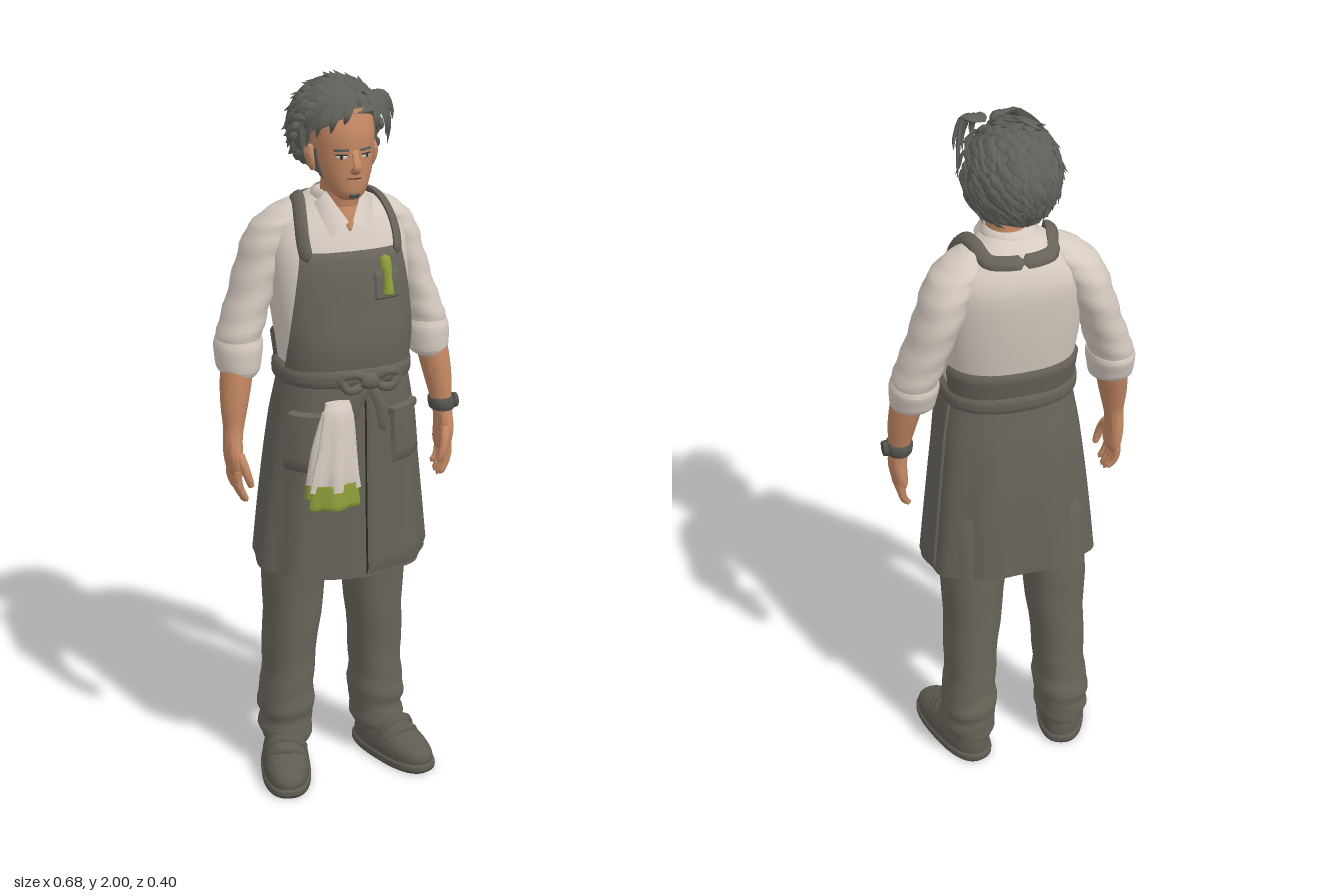
import * as THREE from 'three';
import { mergeGeometries, toCreasedNormals } from 'three/addons/utils/BufferGeometryUtils.js';

const V = (x, y, z) => new THREE.Vector3(x, y, z);
const clamp = THREE.MathUtils.clamp;
const ROWS = 26;

const colour = (name, color, side = THREE.FrontSide) => {
  const m = new THREE.MeshStandardMaterial({ color, side });
  m.name = name;
  return m;
};

// Smooth surface from a rule (u around, v along)
function grid(fn, nu, nv) {
  const pos = [], idx = [], w = nu + 1;
  for (let j = 0; j <= nv; j++)
    for (let i = 0; i <= nu; i++) pos.push(...fn(i / nu, j / nv).toArray());
  for (let j = 0; j < nv; j++)
    for (let i = 0; i < nu; i++) {
      const a = j * w + i;
      idx.push(a, a + 1, a + w + 1, a, a + w + 1, a + w);
    }
  const g = new THREE.BufferGeometry();
  g.setAttribute('position', new THREE.Float32BufferAttribute(pos, 3));
  g.setIndex(idx);
  return toCreasedNormals(g, 0.9);
}

// Loft through sections [y, cx, cz, rx, rz]; with arc it is a patch lying on that loft
function loft(secs, o = {}) {
  const { n = 2, off = 0, range = [0, 1], arc, wave = 0, folds = 9, ripple = 0, hem = 0 } = o;
  const last = secs.length - 1, e = 2 / n;
  const at = t => {
    const f = clamp(t, 0, 1) * last, i = Math.min(Math.floor(f), last - 1), s = f - i;
    const S = k => secs[clamp(k, 0, last)];
    return secs[0].map((_, c) => {
      const a = S(i - 1)[c], b = S(i)[c], d = S(i + 1)[c], g = S(i + 2)[c];
      return b + 0.5 * s * (d - a + s * (2 * a - 5 * b + 4 * d - g + s * (3 * (b - d) + g - a)));
    });
  };
  return (u, v) => {
    let k = v, a0 = -Math.PI, a1 = Math.PI, d = off;
    if (arc) {
      [a0, a1] = typeof arc === 'function' ? arc(v) : arc;
      if (u === 0 || u === 1 || v === 0 || v === 1) d = -0.003;
    } else k = clamp((v * ROWS - 1) / (ROWS - 2), 0, 1);
    const t = range[0] + (range[1] - range[0]) * k;
    const [y, cx, cz, rx, rz] = at(t);
    if (!arc && !o.open && (v === 0 || v === 1)) return V(cx, y, cz);
    const a = a0 + (a1 - a0) * u, s = Math.sin(a), c = Math.cos(a);
    const m = 1 + wave * (1 - t) * Math.cos(folds * a);
    d += ripple * Math.sin(t * 42 + 2 * s);
    return V(cx + (rx * m + d) * Math.sign(s) * Math.abs(s) ** e, y - hem * c * (1 - t),
      cz + (rz * m + d) * Math.sign(c) * Math.abs(c) ** e);
  };
}

// Flattened tapering band along a curve, its flat side facing away from centre
function band(points, w, th, centre, taper = () => 1) {
  const curve = new THREE.CatmullRomCurve3(points.map(p => V(...p)));
  return (u, v) => {
    const p = curve.getPoint(v), T = curve.getTangent(v);
    const N = p.clone().sub(centre).addScaledVector(T, -p.clone().sub(centre).dot(T)).normalize();
    const W = N.clone().cross(T), k = v === 0 || v === 1 ? 0 : taper(v), f = u * Math.PI * 2;
    return p.addScaledVector(W, w * k * Math.cos(f)).addScaledVector(N, th * k * Math.sin(f));
  };
}

export function createModel() {
  const model = new THREE.Group();
  model.name = 'apronMan';
  const D = THREE.DoubleSide;
  const skin = colour('skin', 0xc48863), shirt = colour('shirtCream', 0xd6cbc1, D);
  const apron = colour('apronGrey', 0x67635a, D), trouser = colour('trouserGrey', 0x6a665b);
  const shoe = colour('shoeGrey', 0x5f5b52), hairM = colour('hairGrey', 0x60605a, D);
  const green = colour('green', 0x8fa03a), dark = colour('dark', 0x3a3530, D), watchM = colour('watchGrey', 0x54524c);

  const part = (name, mat, fn, nu = 36, nv = ROWS, parent = model) => {
    const m = new THREE.Mesh(grid(fn, nu, nv), mat);
    m.name = name;
    parent.add(m);
    return m;
  };
  const flip = fn => (u, v) => { const p = fn(1 - u, v); p.x *= -1; return p; };
  const pair = (name, mat, fn, nu, nv) => {
    part(name + 'Left', mat, fn, nu, nv);
    part(name + 'Right', mat, flip(fn), nu, nv);
  };

  // Shirt body, sleeves and rolled cuffs
  const torso = [[1.2, 0, -.01, .165, .122], [1.3, 0, -.015, .175, .137], [1.4, 0, -.03, .185, .138], [1.5, 0, -.045, .19, .135],
    [1.57, 0, -.058, .185, .124], [1.62, 0, -.062, .155, .105], [1.66, 0, -.06, .105, .08], [1.69, 0, -.05, .06, .055]];
  part('shirtBody', shirt, loft(torso, { n: 2.5 }), 48);
  pair('sleeve', shirt, loft([[1.26, .27, -.075, .055, .068], [1.32, .262, -.078, .06, .077], [1.4, .235, -.085, .058, .08],
    [1.5, .2, -.09, .062, .085], [1.58, .17, -.085, .065, .08], [1.63, .135, -.075, .058, .064], [1.665, .105, -.068, .03, .036]],
    { ripple: .0025 }));
  pair('cuff', shirt, loft([[1.215, .272, -.068, .05, .06], [1.225, .272, -.068, .058, .069], [1.25, .271, -.07, .062, .074],
    [1.285, .268, -.075, .065, .079], [1.305, .265, -.077, .06, .074]], { hem: .012 }));

  // Collar and open neck
  part('neck', skin, loft([[1.58, 0, -.035, .058, .056], [1.65, 0, -.022, .056, .057], [1.7, 0, -.012, .054, .055], [1.76, 0, -.005, .055, .058]]), 24);
  part('collarStand', shirt, loft([[1.63, 0, -.045, .085, .08], [1.67, 0, -.04, .072, .07], [1.7, 0, -.035, .064, .066]],
    { arc: [.55, Math.PI * 2 - .55], off: .004 }), 30, 6);
  const quad = (a, b, c, d) => (u, v) =>
    V(...a).lerp(V(...b), u).lerp(V(...d).lerp(V(...c), u), v).add(V(0, 0, .006 * Math.sin(Math.PI * u)));
  pair('collarWing', shirt, quad([.006, 1.625, .062], [.058, 1.588, .07], [.082, 1.672, .005], [.05, 1.7, .014]), 4, 4);
  part('openNeck', skin, quad([-.003, 1.6, .058], [.003, 1.6, .058], [.034, 1.66, .036], [-.034, 1.66, .036]), 4, 4);

  // Apron bib, waist, straps and chest pocket
  part('bib', apron, loft(torso, { n: 2.5, off: .013, range: [0, 3.7 / 7],
    arc: v => { const h = .74 + .8 * (1 - v) ** 1.6; return [-h, h]; } }), 36, 20);
  part('backPanel', apron, loft(torso, { n: 2.5, off: .01, range: [0, 1.25 / 7], arc: [1.75, Math.PI * 2 - 1.75] }), 30, 8);
  part('waistTie', apron, loft([[1.195, 0, -.01, .178, .138], [1.205, 0, -.01, .186, .145], [1.235, 0, -.01, .186, .146], [1.248, 0, -.01, .176, .136]], { n: 2.4 }), 48);
  pair('chestStrap', apron, band([[.125, 1.53, .077], [.13, 1.58, .057], [.125, 1.63, .025], [.113, 1.668, -.025], [.102, 1.672, -.075],
    [.085, 1.655, -.132], [.045, 1.655, -.155], [-.005, 1.655, -.16]], .02, .009, V(0, 1.54, -.06)), 10, 24);
  part('chestPocket', apron, loft(torso, { n: 2.5, off: .019, range: [2.1 / 7, 3.1 / 7], arc: [.12, .6] }), 8, 6);
  part('greenPen', green, band([[.082, 1.43, .122], [.083, 1.47, .12], [.08, 1.51, .11], [.078, 1.54, .1]], .014, .011,
    V(.08, 1.45, -.1), s => .75 + .4 * Math.abs(Math.cos(s * 4))), 10, 12);

  // Apron skirt with overlapping front panel, hip pockets and bow
  const skirt = [[.665, 0, -.035, .24, .163], [.8, 0, -.033, .227, .158], [.95, 0, -.028, .211, .152], [1.08, 0, -.02, .195, .145],
    [1.15, 0, -.014, .183, .138], [1.22, 0, -.01, .17, .128]];
  const skirtLook = { n: 2.35, wave: .025, hem: .02 };
  part('apronSkirt', apron, loft(skirt, { ...skirtLook, open: true }), 90);
  part('frontPanel', apron, loft(skirt, { ...skirtLook, off: .006, arc: [.06, 1.9] }), 40, 20);
  part('panelSeam', dark, loft(skirt, { ...skirtLook, off: .0075, range: [0, .93], arc: [.052, .068] }), 2, 20);
  pair('hipPocket', apron, loft(skirt, { ...skirtLook, off: .016, range: [.42, .72], arc: [.38, 1.1] }), 12, 10);
  pair('pocketFlap', apron, loft(skirt, { ...skirtLook, off: .022, range: [.66, .74], arc: [.36, 1.12] }), 12, 5);
  const back = V(0, 1.18, -.2);
  part('bowKnot', apron, band([[-.008, 1.22, .146], [.02, 1.217, .158], [.045, 1.215, .146]], .022, .014, back), 10, 8);
  for (const s of [-1, 1])
    part('bowLoop', apron, band([[.02, 1.215, .152], [.02 + s * .045, 1.24, .16], [.02 + s * .08, 1.228, .15],
      [.02 + s * .06, 1.195, .155], [.02, 1.21, .15]], .012, .007, back), 8, 18);
  part('bowTailLong', apron, band([[.02, 1.21, .155], [.045, 1.15, .155], [.062, 1.07, .15]], .015, .006, back), 8, 10);
  part('bowTailShort', apron, band([[.02, 1.21, .155], [-.012, 1.16, .152], [-.03, 1.11, .15]], .015, .006, back), 8, 10);

  // Hanging towel
  const fold = { wave: .22, folds: 5 };
  part('towel', shirt, loft([[.93, -.085, .163, .062, .03], [.98, -.083, .162, .057, .029], [1.05, -.076, .157, .05, .025],
    [1.13, -.07, .15, .042, .02], [1.165, -.068, .142, .034, .012]], fold), 40);
  part('towelHem', green, loft([[.88, -.087, .163, .06, .031], [.885, -.087, .163, .067, .034], [.92, -.086, .163, .066, .033],
    [.948, -.085, .163, .064, .0315]], { wave: .18, folds: 5 }), 40);
  part('towelFlap', shirt, loft([[.94, -.128, .132, .026, .018], [1.04, -.115, .138, .024, .015], [1.14, -.09, .14, .02, .01]]), 16);
  part('towelFlapHem', green, loft([[.9, -.13, .13, .027, .02], [.94, -.128, .132, .027, .0195]]), 16);

  // Trousers, bunched at the ankle
  pair('trouserLeg', trouser, loft([[.075, .138, -.098, .06, .08], [.11, .14, -.096, .074, .088], [.15, .138, -.098, .07, .087],
    [.19, .138, -.097, .078, .094], [.25, .135, -.093, .072, .089], [.33, .131, -.09, .071, .09], [.48, .123, -.081, .078, .095],
    [.64, .115, -.075, .088, .103], [.82, .105, -.06, .098, .11], [1, .09, -.04, .085, .1]], { n: 2.3, ripple: .002 }));

  // Shoes, turned slightly out
  const turned = fn => (u, v) => fn(u, v).applyAxisAngle(V(0, 1, 0), .28).add(V(.165, 0, -.022));
  pair('sole', shoe, turned(loft([[0, 0, 0, .066, .156], [.006, 0, 0, .07, .161], [.02, 0, 0, .07, .161], [.026, 0, 0, .066, .157]], { n: 2.5 })));
  pair('shoeUpper', shoe, turned(loft([[.02, 0, 0, .065, .154], [.045, 0, 0, .066, .153], [.068, 0, -.012, .061, .136],
    [.09, 0, -.038, .054, .105], [.115, 0, -.06, .05, .078], [.145, 0, -.075, .047, .058]], { n: 2.35 })));
  for (const [y, z, x] of [[.096, .052, .046], [.117, .022, .05]])
    pair('shoeStrap', shoe, turned(band([[-x - .012, y - .045, z - .012], [-x * .7, y - .006, z], [0, y + .004, z + .005], [x * .7, y - .006, z],
      [x + .012, y - .045, z - .012]], .012, .006, V(0, 0, -.06))), 8, 16);

  // Forearms, hands and watch
  pair('forearm', skin, loft([[.935, .3, -.018, .014, .036], [.955, .302, -.018, .021, .045], [.995, .306, -.018, .024, .046],
    [1.035, .305, -.022, .025, .037], [1.07, .301, -.026, .028, .032], [1.13, .295, -.034, .037, .04], [1.2, .285, -.046, .043, .048],
    [1.28, .272, -.06, .044, .05]]), 24);
  for (let i = 0; i < 4; i++) {
    const z = .016 - i * .022, tip = [.868, .858, .862, .882][i];
    pair('finger', skin, band([[.304, .965, z], [.305, .93, z], [.297, .9, z + .003], [.28, tip, z + .006]], .0118, .012,
      V(.1, .93, -.02), s => 1 - .4 * s * s), 10, 12);
  }
  pair('thumb', skin, band([[.3, 1.01, .008], [.29, .97, .03], [.28, .935, .036], [.272, .91, .034]], .013, .013, V(.1, .95, -.02), s => 1 - .4 * s * s), 10, 12);
  part('watchStrap', watchM, loft([[1.046, .303, -.025, .028, .034], [1.052, .303, -.025, .035, .041], [1.076, .301, -.027, .036, .041], [1.082, .301, -.027, .028, .034]]), 24);
  const dial = new THREE.Mesh(new THREE.CylinderGeometry(.02, .022, .012, 16).rotateZ(-Math.PI / 2), watchM);
  dial.position.set(.341, 1.064, -.026);
  dial.name = 'watchDial';
  model.add(dial);

  // Head and features
  const head = [[1.685, 0, .045, .025, .028], [1.7, 0, .04, .042, .048], [1.73, 0, .022, .06, .07], [1.77, 0, .006, .074, .086],
    [1.81, 0, 0, .08, .091], [1.86, 0, -.006, .083, .095], [1.92, 0, -.02, .078, .088]];
  part('head', skin, loft(head), 36);
  const mark = (i0, i1, arc, off = .003) => loft(head, { range: [i0 / 6, i1 / 6], arc, off });
  pair('eyeWhite', shirt, mark(3.68, 3.93, [.24, .64]), 6, 4);
  pair('iris', dark, mark(3.66, 3.96, [.36, .52], .0045), 4, 4);
  pair('eyelid', dark, mark(3.9, 3.99, [.2, .68], .0045), 6, 4);
  pair('eyebrow', hairM, mark(4.1, 4.3, [.16, .72], .004), 6, 4);
  pair('sideburn', hairM, mark(2.1, 4.2, [1.3, 1.65]), 6, 8);
  part('mouth', dark, mark(2.36, 2.45, [-.34, .34]), 8, 4);
  part('goatee', hairM, mark(.5, 1.3, [-.4, .4]), 8, 5);
  part('nose', skin, band([[0, 1.823, .084], [0, 1.795, .1], [0, 1.775, .108], [0, 1.762, .086]], .013, .01, V(0, 1.78, -.1), s => .6 + .5 * s), 12, 12);
  pair('ear', skin, loft([[1.755, .08, -.005, .006, .01], [1.775, .085, -.006, .011, .017], [1.8, .088, -.01, .013, .023], [1.82, .086, -.012, .008, .016]]), 14);

  // Hair: scalp cap, swept-back tufts and curtain fringe
  const C = V(0, 1.85, -.045), R = V(.116, .124, .13);
  const onScalp = (d, r) => d.clone().multiply(R).multiplyScalar(r).add(C);
  const hair = new THREE.Group();
  hair.name = 'hair';
  model.add(hair);
  part('hairCap', hairM, (u, v) => {
    const a = (u * 2 - 1) * Math.PI, b = (v - .5) * Math.PI;
    const d = V(Math.sin(a) * Math.cos(b), Math.sin(b), Math.cos(a) * Math.cos(b));
    const face = THREE.MathUtils.smoothstep(d.z, .1, .35) * (1 - THREE.MathUtils.smoothstep(d.y, .2, .45));
    return onScalp(d, 1.02 - .4 * face);
  }, 36, ROWS, hair);
  let seed = 7;
  const rnd = () => (seed = (seed * 16807) % 2147483647) / 2147483647;
  const tufts = [], part0 = V(.3, .6, .75).normalize(), taper = s => Math.min(1, .35 + 3 * s) * (1 - s) ** .65;
  for (let i = 0; i < 230; i++) {
    const y = 1 - 1.62 * (i + .5) / 230, a = i * 2.39996, q = Math.sqrt(1 - y * y);
    const d = V(q * Math.sin(a), y, q * Math.cos(a));
    const axis = part0.clone().cross(d).add(V(rnd() - .5, rnd() - .5, rnd() - .5).multiplyScalar(.35)).normalize();
    const ang = .4 + .35 * rnd(), lift = 1.1 + .13 * rnd();
    const turn = k => d.clone().applyAxisAngle(axis, ang * k);
    const tip = turn(1);
    if ((d.z > .2 && d.y < .4) || (tip.z > .15 && tip.y < .1) || tip.y < -.97) continue;
    const pts = [[0, .95], [.35, 1.08], [.7, 1.1], [1, lift]].map(([k, r]) => onScalp(turn(k), r).toArray());
    tufts.push(grid(band(pts, .013 + .008 * rnd(), .007, C, taper), 6, 8));
  }
  for (const [x, y, z] of [[-.112, 1.82, .035], [-.1, 1.855, .078], [-.07, 1.868, .1], [-.035, 1.89, .106], [.055, 1.865, .102],
    [.085, 1.85, .088], [.105, 1.835, .06], [.116, 1.81, .025], [-.12, 1.87, .045], [.12, 1.88, .045]])
    tufts.push(grid(band([[.03 + x * .2, 1.955, .03], [.02 + x * .55, 1.955, .072], [x * .95, (y + 1.935) / 2, z + .014], [x, y, z]],
      .019, .009, C, taper), 6, 10));
  const tuftMesh = new THREE.Mesh(mergeGeometries(tufts), hairM);
  tuftMesh.name = 'hairTufts';
  hair.add(tuftMesh);

  return model;
}
